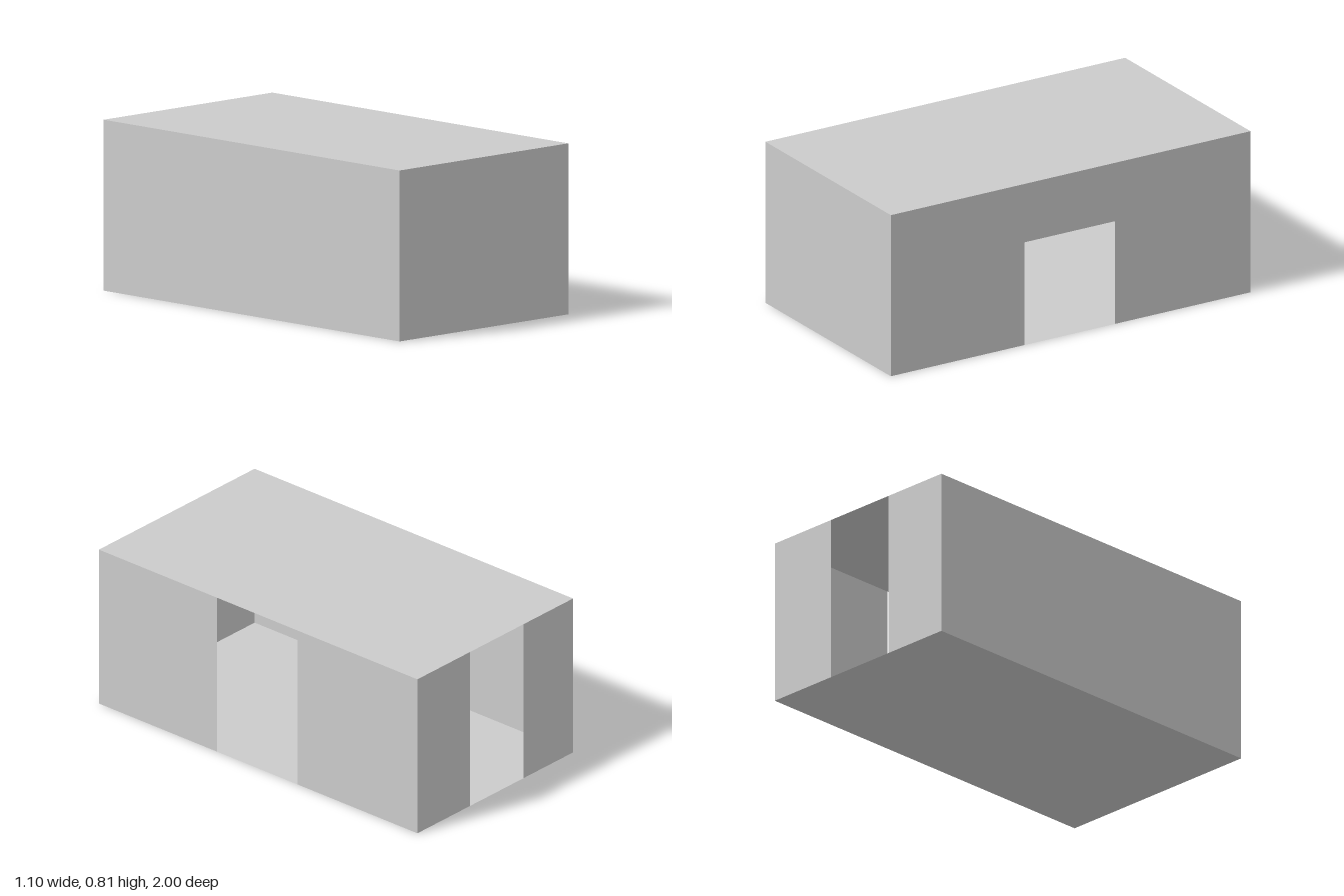
import * as THREE from 'three';

const W = 0.552, H = 0.815, D = 1; // half width, height, half depth

export function createModel() {
  const model = new THREE.Group();
  const material = new THREE.MeshStandardMaterial({
    color: 0xcccccc, flatShading: true, side: THREE.DoubleSide,
  });

  // Thin panel, turned to face outwards
  function panel(name, w, h, position, rotation) {
    const mesh = new THREE.Mesh(new THREE.PlaneGeometry(w, h), material);
    mesh.name = name;
    mesh.position.set(...position);
    mesh.rotation.set(...rotation);
    model.add(mesh);
  }
  // Upright wall pieces spanning a to b, across x or along z
  const wallX = (name, a, b, z) =>
    panel(name, b - a, H, [(a + b) / 2, H / 2, z], [0, z > 0 ? 0 : Math.PI, 0]);
  const wallZ = (name, a, b, x) =>
    panel(name, b - a, H, [x, H / 2, (a + b) / 2], [0, Math.sign(x) * Math.PI / 2, 0]);

  // Floor and flat roof
  panel('floor', 2 * W, 2 * D, [0, 0, 0], [Math.PI / 2, 0, 0]);
  panel('roof', 2 * W, 2 * D, [0, H, 0], [-Math.PI / 2, 0, 0]);

  // Closed walls
  wallX('frontWall', -W, W, D);
  wallZ('closedSideWall', -D, D, -W);

  // Side wall with a full-height doorway
  wallZ('doorSideWallRear', -D, -0.247, W);
  wallZ('doorSideWallFront', 0.257, D, W);

  // Back wall with a full-height doorway
  wallX('backWallNarrowPart', -W, -0.2, -D);
  wallX('backWallWidePart', 0.18, W, -D);

  return model;
}
